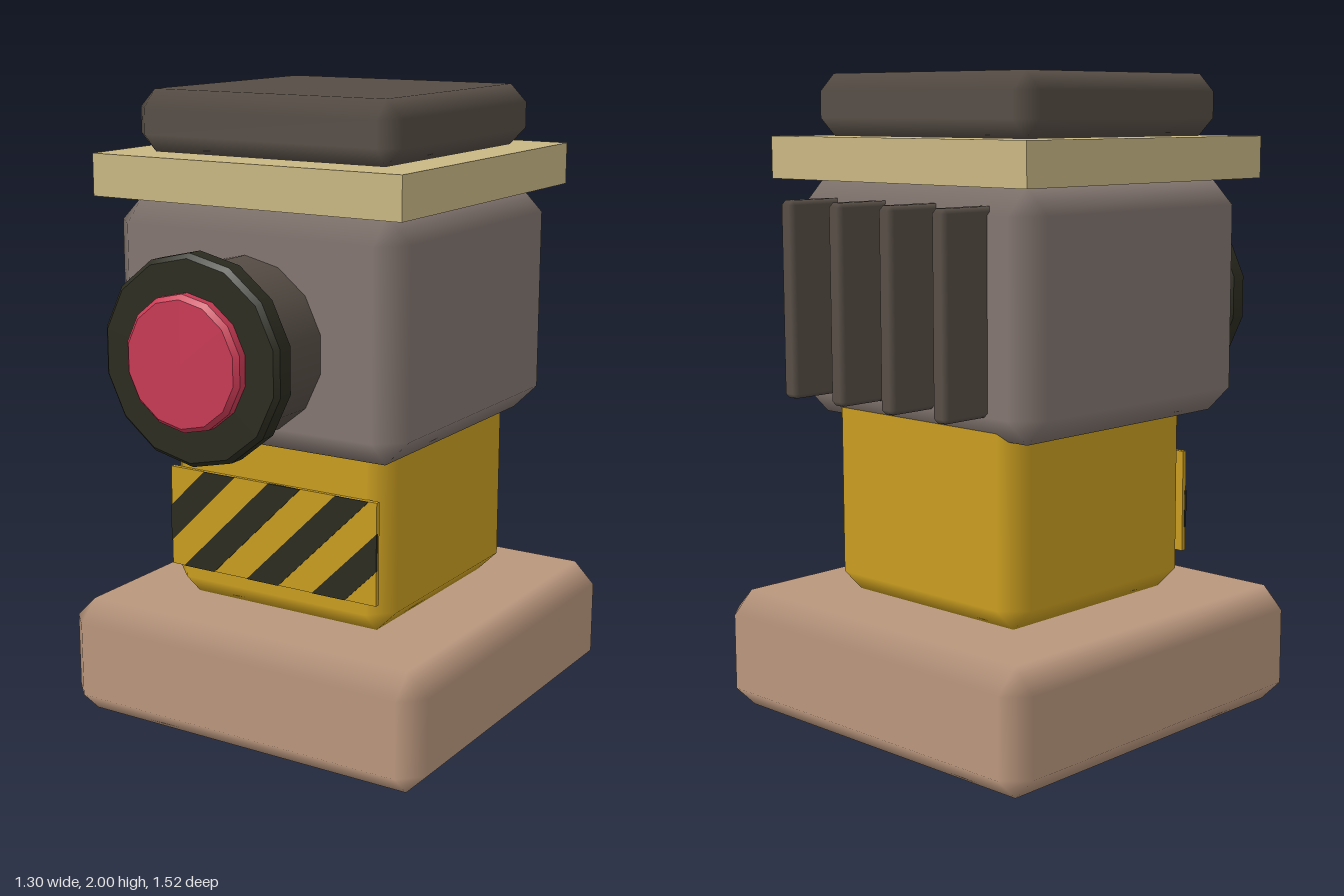
import * as THREE from 'three';

const mat = (name, color) => new THREE.MeshStandardMaterial({ name, color });

// Box with a single 45 degree bevel; normals blend across the bevels only.
function bevelBox(w, h, d, b) {
  const half = [w / 2, h / 2, d / 2];
  const pos = [], nor = [], idx = [];
  // three vertices per corner, one for each axis-facing side
  for (let c = 0; c < 8; c++) {
    const s = [c & 1 ? 1 : -1, c & 2 ? 1 : -1, c & 4 ? 1 : -1];
    for (let a = 0; a < 3; a++) {
      for (let k = 0; k < 3; k++) {
        pos.push(s[k] * (half[k] - (k === a ? 0 : b)));
        nor.push(k === a ? s[k] : 0);
      }
    }
  }
  const point = (i) => new THREE.Vector3().fromArray(pos, i * 3);
  const tri = (i, j, k) => {
    const p = point(i), q = point(j), r = point(k);
    const n = q.clone().sub(p).cross(r.clone().sub(p));
    if (n.dot(p.add(q).add(r)) > 0) idx.push(i, j, k);
    else idx.push(i, k, j);
  };
  const quad = (i, j, k, l) => { tri(i, j, k); tri(i, k, l); };
  for (let a = 0; a < 3; a++) {
    const u = 1 << ((a + 1) % 3), v = 1 << ((a + 2) % 3), m = 1 << a;
    for (const o of [0, m]) { // flat sides
      quad(o * 3 + a, (o + u) * 3 + a, (o + u + v) * 3 + a, (o + v) * 3 + a);
    }
    for (const o of [0, u, v, u + v]) { // bevels along axis a
      const e = (a + 1) % 3, f = (a + 2) % 3;
      quad(o * 3 + e, (o + m) * 3 + e, (o + m) * 3 + f, o * 3 + f);
    }
  }
  for (let c = 0; c < 8; c++) tri(c * 3, c * 3 + 1, c * 3 + 2); // corners
  const g = new THREE.BufferGeometry();
  g.setAttribute('position', new THREE.Float32BufferAttribute(pos, 3));
  g.setAttribute('normal', new THREE.Float32BufferAttribute(nor, 3));
  g.setIndex(idx);
  return g;
}

// Bevelled disc facing +z; doubled profile points keep its edges sharp.
function bevelDisc(radius, z0, z1, b) {
  const p = [[0, z0], [radius - b, z0], [radius - b, z0], [radius, z0 + b], [radius, z0 + b],
    [radius, z1 - b], [radius, z1 - b], [radius - b, z1], [radius - b, z1], [0, z1]];
  const g = new THREE.LatheGeometry(p.map(([x, y]) => new THREE.Vector2(x, y)), 14);
  return g.rotateX(Math.PI / 2);
}

export function createModel() {
  const model = new THREE.Group();
  model.name = 'sentryPost';
  const tan = mat('tan', 0xb9967d);
  const yellow = mat('yellow', 0xc99d20);
  const grey = mat('warmGrey', 0x82756f);
  const cream = mat('cream', 0xc9b783);
  const brown = mat('darkBrown', 0x564d45);
  const black = mat('black', 0x2b2b20);
  const red = mat('red', 0xc93a54);

  const add = (name, geometry, material, x = 0, y = 0, z = 0) => {
    const mesh = new THREE.Mesh(geometry, material);
    mesh.name = name;
    mesh.position.set(x, y, z);
    model.add(mesh);
    return mesh;
  };
  // bevelled block given by its bottom, top, back and front
  const block = (name, material, width, y0, y1, z0, z1, b, x = 0) =>
    add(name, bevelBox(width, y1 - y0, z1 - z0, b), material, x, (y0 + y1) / 2, (z0 + z1) / 2);

  // Stacked body
  block('base', tan, 1.3, 0, 0.38, -0.76, 0.54, 0.07);
  block('column', yellow, 0.81, 0.38, 1.08, -0.51, 0.3, 0.07);
  block('head', grey, 1.025, 0.95, 1.68, -0.565, 0.435, 0.08);
  add('brim', new THREE.BoxGeometry(1.08, 0.13, 1.06), cream, 0, 1.745, -0.07);
  block('cap', brown, 0.92, 1.81, 2, -0.515, 0.375, 0.055);

  // Cooling fins on the back
  for (let i = 0; i < 4; i++) {
    block('coolingFin', brown, 0.06, 1.03, 1.625, -0.73, -0.5, 0.014, -0.325 + i * 0.215);
  }

  // Eye: barrel, rim and lens
  const barrel = new THREE.CylinderGeometry(0.267, 0.267, 0.3, 14).rotateX(Math.PI / 2);
  add('eyeBarrel', barrel, brown, 0, 1.274, 0.51);
  add('eyeRim', bevelDisc(0.31, 0.64, 0.72, 0.014), black, 0, 1.274, 0);
  add('eyeLens', bevelDisc(0.2, 0.7, 0.76, 0.014), red, 0, 1.274, 0);

  // Hazard plate with slanted stripes clipped to its outline
  const y0 = 0.49, y1 = 0.815, edge = 0.38, w = 0.118;
  add('hazardPlate', new THREE.BoxGeometry(edge * 2, y1 - y0, 0.016), yellow, 0, (y0 + y1) / 2, 0.304);
  for (let i = 0; i < 4; i++) {
    const s = -0.575 + i * 0.242, h = y1 - y0;
    let pts = [[s, y0], [s + w, y0], [s + w + h, y1], [s + h, y1]];
    if (s < -edge) {
      pts = [[-edge, y0 - edge - s - w], [s + w + h, y1], [s + h, y1], [-edge, y0 - edge - s]];
    } else if (s + h > edge) {
      pts = [[s, y0], [s + w, y0], [edge, y0 + edge - s - w], [edge, y0 + edge - s]];
    }
    const shape = new THREE.Shape(pts.map(([x, y]) => new THREE.Vector2(x * 1.003, y)));
    const stripe = new THREE.ExtrudeGeometry(shape, { depth: 0.009, bevelEnabled: false });
    add('hazardStripe', stripe, black, 0, 0, 0.306);
  }
  return model;
}
